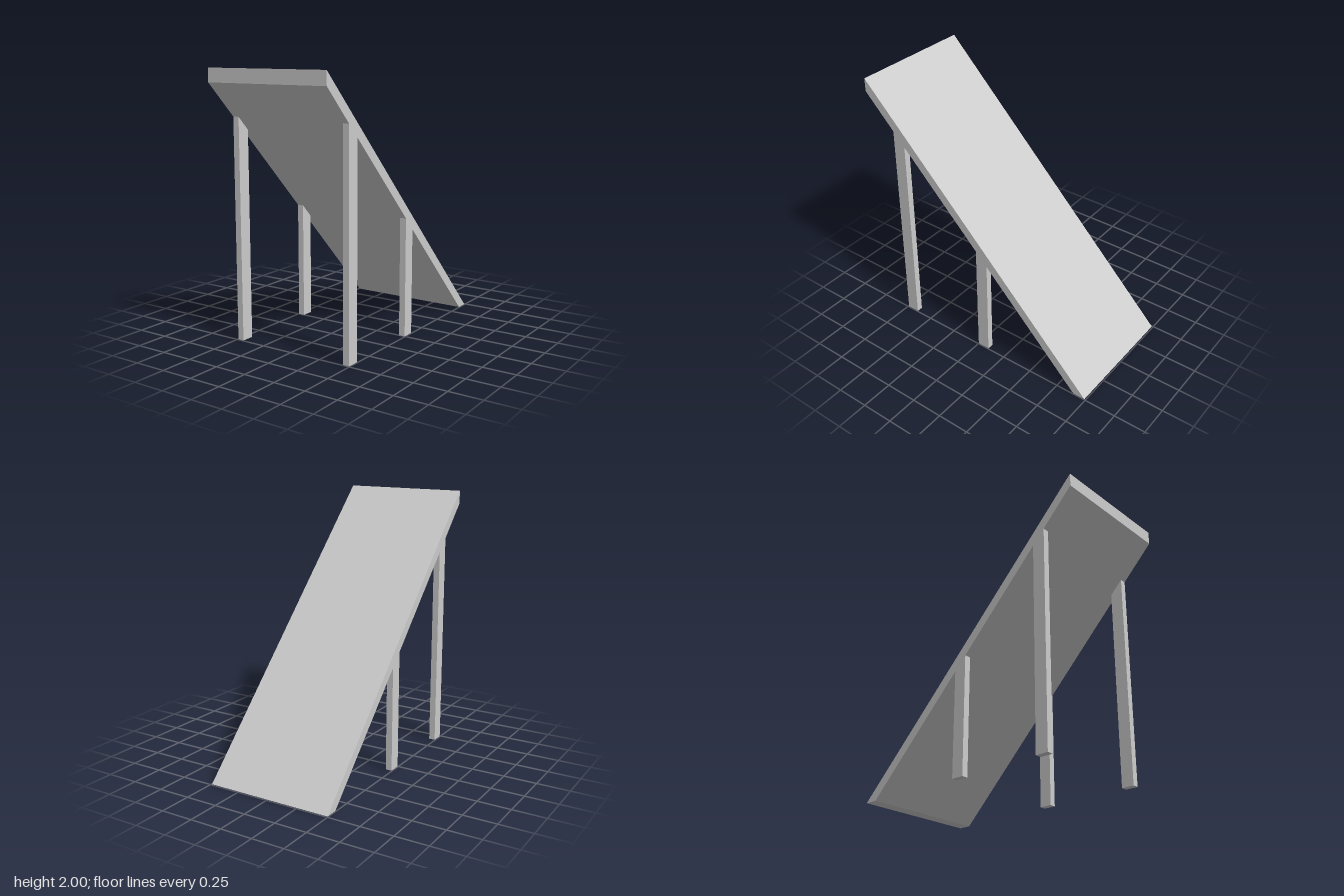
import * as THREE from 'three';

const HALF_WIDTH = 0.495;

// Extrudes a side profile of [z, y] points across the width, from x0 to x1.
function sideExtrude(name, points, x0, x1, material) {
  const shape = new THREE.Shape(points.map(([z, y]) => new THREE.Vector2(z, y)));
  const geometry = new THREE.ExtrudeGeometry(shape, { depth: x1 - x0, bevelEnabled: false });
  geometry.rotateY(-Math.PI / 2);
  geometry.translate(x1, 0, 0);
  const mesh = new THREE.Mesh(geometry, material);
  mesh.name = name;
  return mesh;
}

// Height of the ramp's underside at a given z.
const underside = (z) => 1.9 * (z + 0.893) / 1.883;

export function createModel() {
  const model = new THREE.Group();
  model.name = 'ramp';
  const grey = new THREE.MeshStandardMaterial({ color: 0xcccccc });
  grey.name = 'light grey';

  // Sloping deck with a vertical front edge and a flat foot
  const deck = [[-0.99, 0], [-0.893, 0], [0.99, 1.9], [0.99, 2]];
  model.add(sideExtrude('deck', deck, -HALF_WIDTH, HALF_WIDTH, grey));

  // Two pairs of posts, their tops cut to the slope
  for (const [name, back, front] of [['frontPost', 0.645, 0.743], ['rearPost', -0.097, 0]]) {
    const post = [[back, 0], [front, 0], [front, underside(front)], [back, underside(back)]];
    model.add(sideExtrude(name + 'Left', post, HALF_WIDTH - 0.049, HALF_WIDTH, grey));
    model.add(sideExtrude(name + 'Right', post, -HALF_WIDTH, -HALF_WIDTH + 0.049, grey));
  }
  return model;
}
